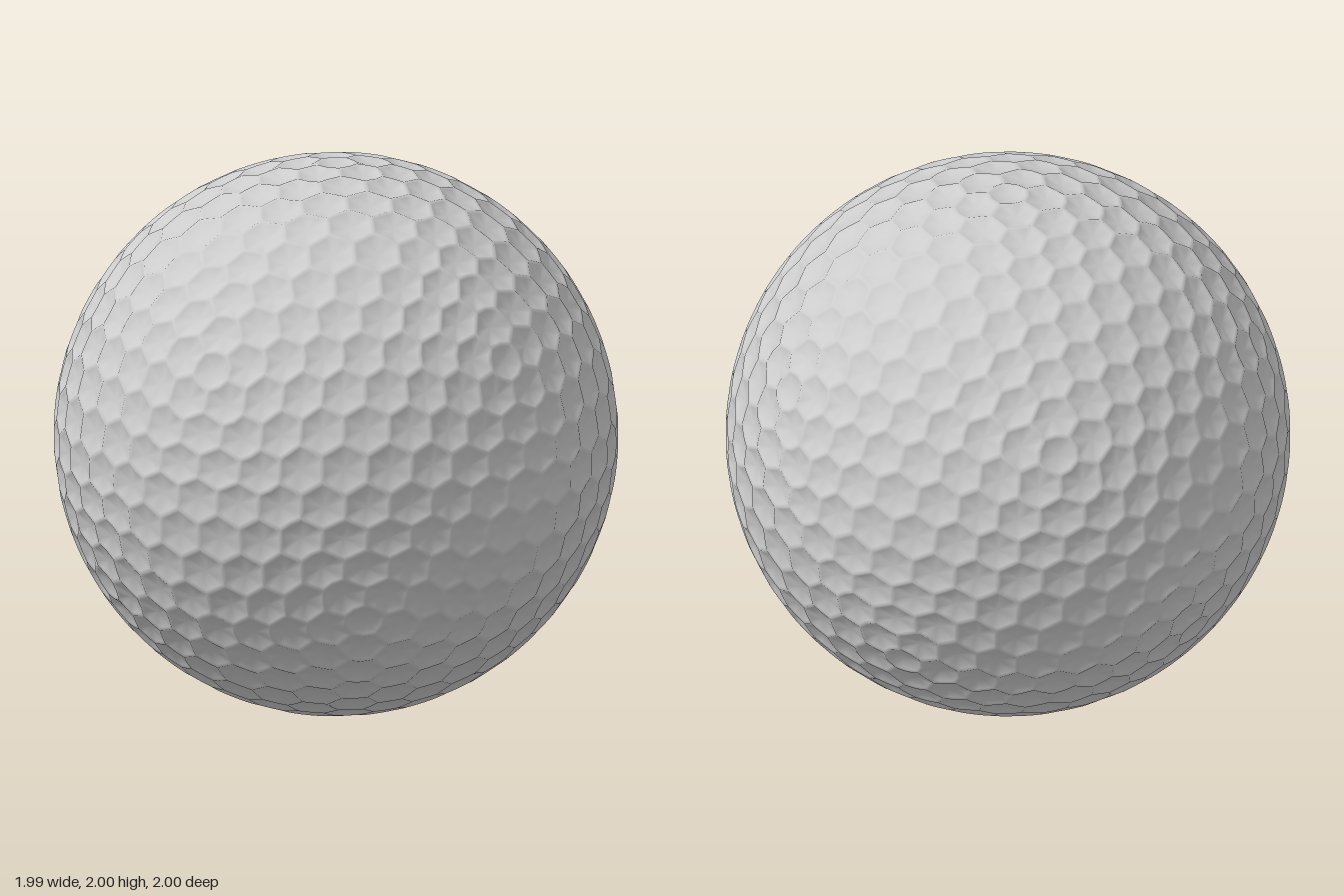
import * as THREE from 'three';
import { mergeVertices } from 'three/addons/utils/BufferGeometryUtils.js';

const DEPTH = 0.017;                     // dimple depth
const RINGS = [0, 0.35, 0.65, 0.86, 1];  // dimple centre to ridge
const SEGS = 2;                          // steps along each half ridge

const mid = (...p) => p.reduce((s, v) => s.add(v), new THREE.Vector3()).normalize();

// Icosahedron standing on a corner, one upper corner towards +x
function icosahedron() {
  const ring = (y, offset) => Array.from({ length: 5 }, (_, k) => {
    const a = ((k + offset) * Math.PI * 2) / 5;
    return new THREE.Vector3(2 * Math.cos(a), y, -2 * Math.sin(a)).normalize();
  });
  const top = new THREE.Vector3(0, 1, 0), bottom = new THREE.Vector3(0, -1, 0);
  const U = ring(1, 0), L = ring(-1, 0.5);
  const faces = [];
  for (let k = 0; k < 5; k++) {
    const n = (k + 1) % 5;
    faces.push([top, U[k], U[n]], [U[k], L[k], U[n]], [L[k], L[n], U[n]], [bottom, L[n], L[k]]);
  }
  return faces;
}

function subdivide(faces) {
  return faces.flatMap(([a, b, c]) => {
    const ab = mid(a, b), bc = mid(b, c), ca = mid(c, a);
    return [[a, ab, ca], [ab, b, bc], [ca, bc, c], [ab, bc, ca]];
  });
}

// Point in a dimple: t = 0 at its centre, 1 on the ridge
function dimplePoint(centre, rim, t) {
  return centre.clone().lerp(rim, t).normalize().multiplyScalar(1 - DEPTH * (1 - Math.pow(t, 2.4)));
}

// One sector of a dimple, between two edge midpoints and the triangle's centre
function addSector(out, centre, m1, c, m2) {
  const rim = [];
  for (let i = 0; i < SEGS; i++) rim.push(m1.clone().lerp(c, i / SEGS));
  for (let i = 0; i <= SEGS; i++) rim.push(c.clone().lerp(m2, i / SEGS));
  const rows = RINGS.map((t) => rim.map((p) => dimplePoint(centre, p, t)));
  const tri = (...p) => p.forEach((v) => out.push(v.x, v.y, v.z));
  for (let r = 0; r < RINGS.length - 1; r++) {
    for (let i = 0; i < rim.length - 1; i++) {
      tri(rows[r][i], rows[r + 1][i], rows[r + 1][i + 1]);
      if (r > 0) tri(rows[r][i], rows[r + 1][i + 1], rows[r][i + 1]);
    }
  }
}

export function createModel() {
  // 642 dimple centres on a geodesic grid
  let faces = icosahedron();
  for (let i = 0; i < 3; i++) faces = subdivide(faces);

  const positions = [];
  for (const [a, b, c] of faces) {
    const ab = mid(a, b), bc = mid(b, c), ca = mid(c, a), centre = mid(a, b, c);
    addSector(positions, a, ab, centre, ca);
    addSector(positions, b, bc, centre, ab);
    addSector(positions, c, ca, centre, bc);
  }

  let geometry = new THREE.BufferGeometry();
  geometry.setAttribute('position', new THREE.Float32BufferAttribute(positions, 3));
  geometry = mergeVertices(geometry, 1e-4);
  geometry.computeVertexNormals();

  const ball = new THREE.Mesh(geometry, new THREE.MeshStandardMaterial({ color: 0xcccccc }));
  ball.name = 'dimpledBall';
  ball.position.y = 1;

  const group = new THREE.Group();
  group.name = 'golfBall';
  group.add(ball);
  return group;
}
